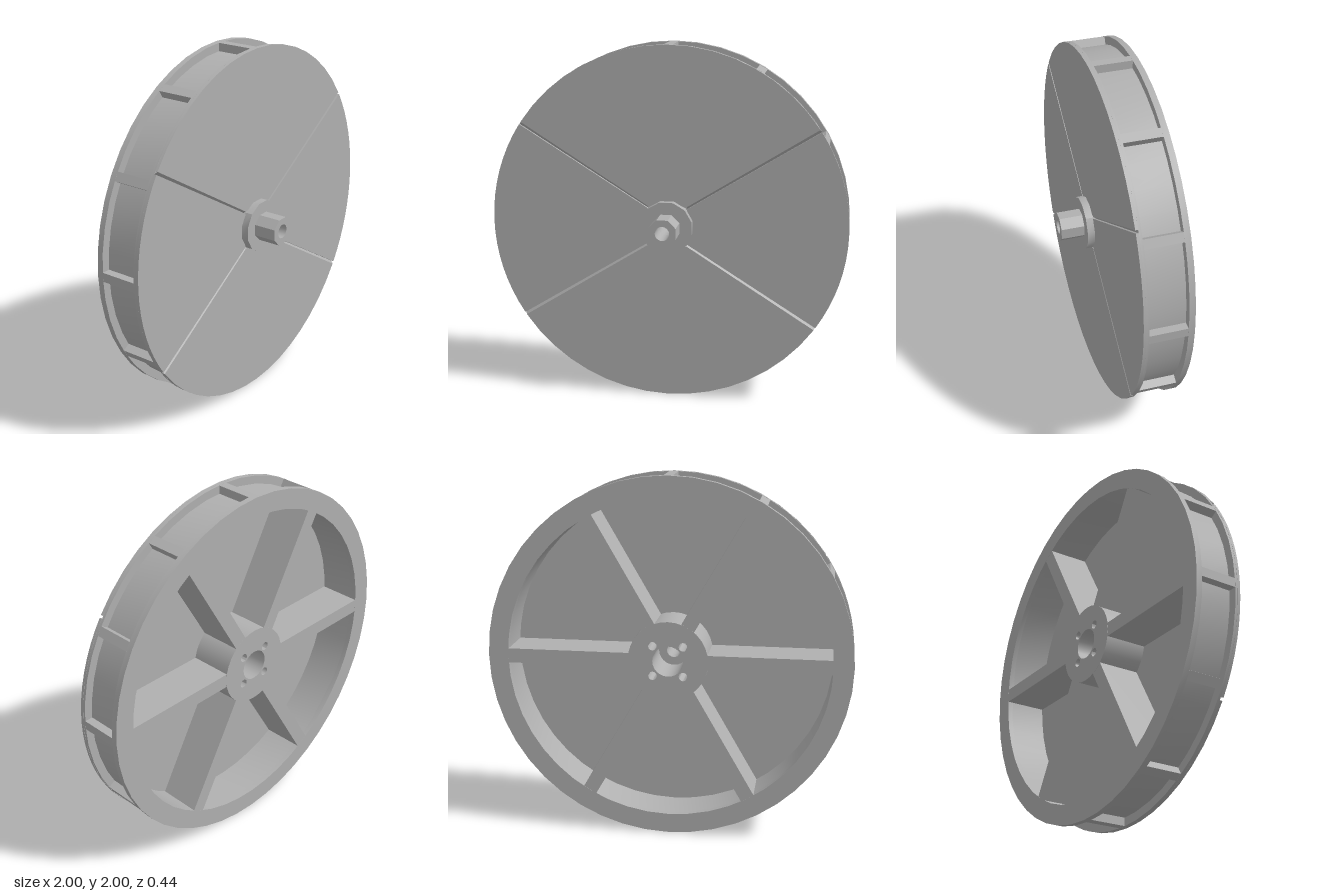
import * as THREE from 'three';
import { toCreasedNormals } from 'three/addons/utils/BufferGeometryUtils.js';

const BACK = -0.218, FRONT = 0.05;

export function createModel() {
  const model = new THREE.Group();
  const grey = new THREE.MeshStandardMaterial({ color: 0xb0b0b0 });
  grey.name = 'plain grey';
  const wheel = new THREE.Group();
  wheel.name = 'wheel';
  wheel.position.y = 1;
  model.add(wheel);

  const add = (name, geometry, parent = wheel) => {
    const mesh = new THREE.Mesh(geometry, grey);
    mesh.name = name;
    parent.add(mesh);
    return mesh;
  };

  // Flat shape extruded from z0 to z1
  const slab = (shape, z0, z1, segments = 12) => {
    const g = new THREE.ExtrudeGeometry(shape, { depth: z1 - z0, bevelEnabled: false, curveSegments: segments });
    g.translate(0, 0, z0);
    return toCreasedNormals(g, Math.PI / 6);
  };
  const circle = (r, sides, x = 0, y = 0, turn = 0) => Array.from({ length: sides }, (_, i) => {
    const a = turn + (i / sides) * Math.PI * 2;
    return new THREE.Vector2(x + r * Math.cos(a), y + r * Math.sin(a));
  });
  // Disc with round holes given as point loops
  const disc = (outline, holes, z0, z1) => {
    const shape = new THREE.Shape(outline);
    holes.forEach((h) => shape.holes.push(new THREE.Path(h)));
    return slab(shape, z0, z1);
  };

  // Rim: recessed band, rear flange and ribs that frame the pockets
  add('rimBand', disc(circle(0.955, 48), [circle(0.89, 48)], -0.19, 0.02));
  add('rearFlange', disc(circle(1, 48), [circle(0.89, 48)], BACK, -0.185));
  for (let i = 0; i < 12; i++) {
    const turn = new THREE.Group();
    turn.name = 'rimRib';
    turn.rotation.z = (i * Math.PI) / 6;
    wheel.add(turn);
    add('rib', new THREE.BoxGeometry(0.065, 0.05, 0.207), turn).position.set(0.966, 0, -0.083);
  }

  // Six deep spokes behind the front disc
  for (let i = 0; i < 6; i++) {
    const turn = new THREE.Group();
    turn.name = 'spoke';
    turn.rotation.z = (i * Math.PI) / 3;
    wheel.add(turn);
    add('spokeBar', new THREE.BoxGeometry(0.7, 0.08, 0.238), turn).position.set(0.55, 0, -0.098);
  }

  // Rear hub with a bore and four bolt holes
  const boltHoles = [0, 1, 2, 3].map((i) => {
    const a = Math.PI / 4 + (i * Math.PI) / 2;
    return circle(0.024, 12, 0.118 * Math.cos(a), 0.118 * Math.sin(a));
  });
  add('rearHub', disc(circle(0.22, 32), [circle(0.085, 24), ...boltHoles], BACK, 0.02));

  // Front disc: a full backing layer under four panels parted by grooves
  add('discBacking', disc(circle(1, 48), [circle(0.04, 16)], 0.02, 0.035));
  add('discCentre', disc(circle(0.142, 24), [circle(0.04, 16)], 0.035, FRONT));
  const sector = (inner, from, to) => {
    const points = inner.map(([x, y]) => new THREE.Vector2(x, y));
    for (let i = 0; i <= 16; i++) {
      const a = from + ((to - from) * i) / 16;
      points.push(new THREE.Vector2(Math.cos(a), Math.sin(a)));
    }
    return slab(new THREE.Shape(points), 0.035, FRONT);
  };
  const low = Math.atan2(0.55, 0.835), high = Math.atan2(0.563, 0.826);
  for (const s of [0, Math.PI]) {
    add('sidePanel', sector([[0.11, 0.1], [0.11, -0.1]], -low, low)).rotation.z = s;
    add('broadPanel', sector([[-0.11, 0.113], [0.11, 0.113]], high, Math.PI - high)).rotation.z = s;
  }

  // Sloping groove floors, facing the side panels
  for (const sx of [1, -1]) for (const sy of [1, -1]) {
    const corners = [[0.11, 0.1, 0.036], [0.835, 0.55, 0.036], [0.826, 0.563, FRONT], [0.11, 0.113, FRONT]];
    const g = new THREE.BufferGeometry();
    g.setAttribute('position', new THREE.Float32BufferAttribute(
      corners.flatMap(([x, y, z]) => [x * sx, y * sy, z]), 3));
    g.setIndex(sx * sy > 0 ? [0, 1, 2, 0, 2, 3] : [0, 2, 1, 0, 3, 2]);
    g.computeVertexNormals();
    add('grooveFloor', g);
  }

  // Front collar and the octagonal shaft end
  add('collar', disc(circle(0.147, 12, 0, 0, Math.PI / 12), [circle(0.04, 16)], 0.045, 0.09));
  add('shaftEnd', disc(circle(0.081, 8, 0, 0, Math.PI / 8), [circle(0.04, 16)], 0.085, 0.22));

  return model;
}
